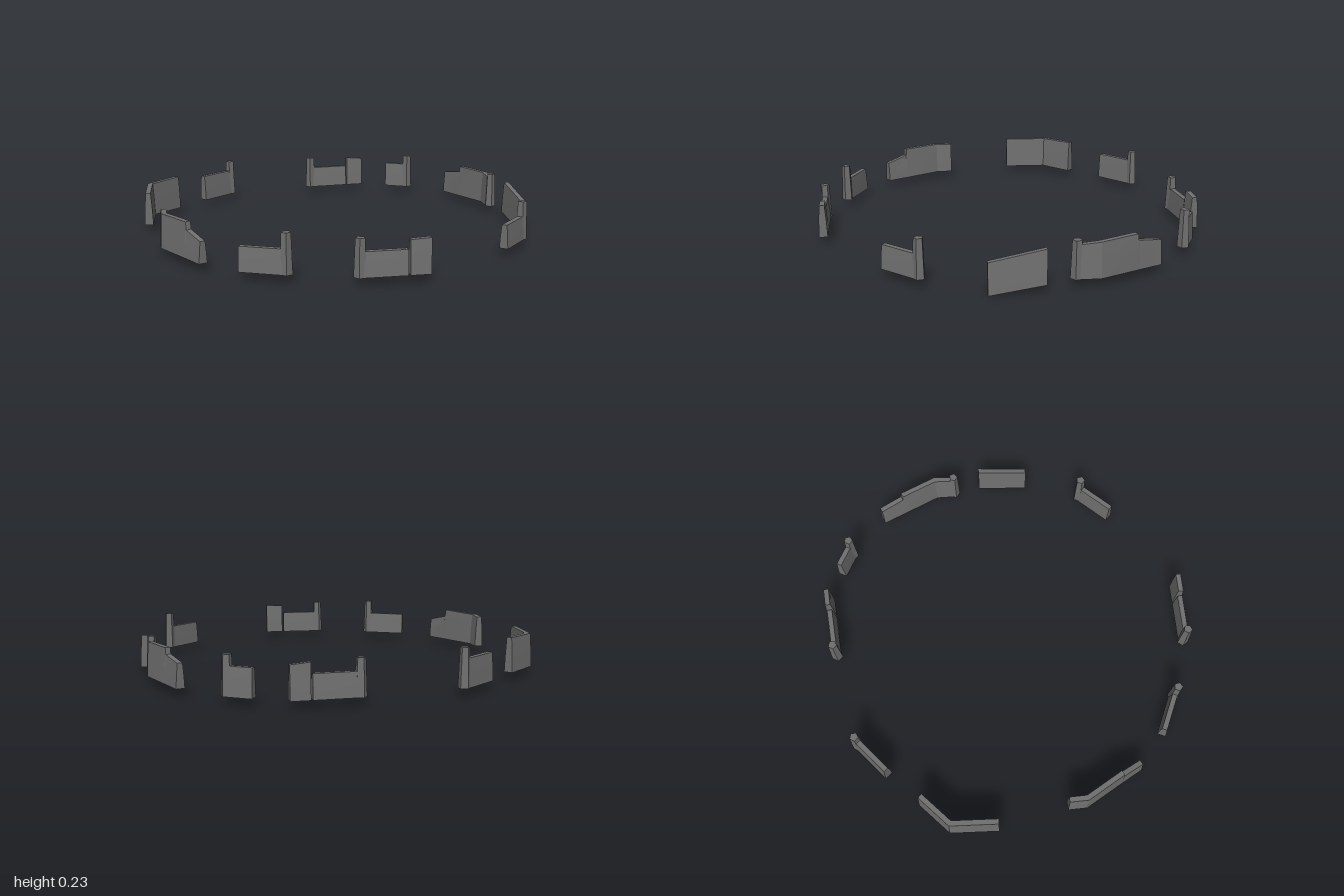
import * as THREE from 'three';
import { toCreasedNormals } from 'three/addons/utils/BufferGeometryUtils.js';

const BASE = 0.04;

// Battered wall swept along stations [x, z, topY, bottomY]
function wallGeometry(stations) {
  const pos = [], idx = [], n = 6, last = stations.length - 1;
  const dir = (i) => {
    const a = stations[i], b = stations[i + 1];
    return new THREE.Vector2(b[0] - a[0], b[1] - a[1]).normalize();
  };
  stations.forEach(([x, z, top, bottom = BASE], i) => {
    const d0 = dir(Math.max(i - 1, 0)), d1 = dir(Math.min(i, last - 1));
    const d = d0.clone().add(d1).normalize();
    const miter = 1 / d.dot(d1);
    const mid = bottom + (top - bottom) * 0.5;
    const section = [[0.022, bottom], [0.0185, mid], [0.013, top],
      [-0.013, top], [-0.0185, mid], [-0.022, bottom]];
    for (const [u, y] of section) pos.push(x - d.y * u * miter, y, z + d.x * u * miter);
  });
  for (let s = 0; s < last; s++) {
    for (let k = 0; k < n; k++) {
      const a = s * n + k, d = s * n + (k + 1) % n;
      idx.push(a, a + n, d + n, a, d + n, d);
    }
  }
  // End caps
  const e = last * n;
  for (let k = 1; k < n - 1; k++) idx.push(0, k, k + 1, e, e + k + 1, e + k);
  const g = new THREE.BufferGeometry();
  g.setAttribute('position', new THREE.Float32BufferAttribute(pos, 3));
  g.setIndex(idx);
  return toCreasedNormals(g, 0.3);
}

// Five-sided tapered post with one corner pointing away from the wall
function postGeometry(top) {
  const h = top - BASE;
  const g = new THREE.CylinderGeometry(0.023, 0.03, h, 5);
  g.translate(0, BASE + h / 2, 0);
  return toCreasedNormals(g, 0.3);
}

export function createModel() {
  const model = new THREE.Group();
  const stone = new THREE.MeshStandardMaterial({ color: 0x707070 });
  stone.name = 'grey stone';

  // Each ruin: wall runs, plus an optional post [x, z, topY, fromX, fromZ]
  const ruins = [
    { name: 'backLeftCorner',
      walls: [[[-0.675, -0.73, 0.21], [-0.51, -0.902, 0.21], [-0.31, -0.91, 0.215]]] },
    { name: 'backWall',
      walls: [[[-0.09, -0.932, 0.178], [0.13, -0.932, 0.178]]],
      post: [0.132, -0.932, 0.232, -0.09, -0.932] },
    { name: 'backRightWall',
      walls: [[[0.572, -0.675, 0.157], [0.75, -0.545, 0.157]],
        [[0.757, -0.54, 0.208], [0.832, -0.485, 0.2]]],
      post: [0.572, -0.675, 0.218, 0.75, -0.545] },
    { name: 'rightShortWall',
      walls: [[[0.897, -0.335, 0.178], [0.942, -0.215, 0.178]]],
      post: [0.942, -0.215, 0.23, 0.897, -0.335] },
    { name: 'rightSteppedWall',
      walls: [[[0.978, 0.052, 0.16], [0.939, 0.175, 0.18], [0.938, 0.179, 0.212],
        [0.879, 0.37, 0.21], [0.812, 0.445, 0.2]]],
      post: [0.81, 0.448, 0.222, 0.879, 0.37] },
    { name: 'tiltedWall',
      walls: [[[0.577, 0.78, 0.152, 0.0], [0.747, 0.58, 0.203, 0.038]]] },
    { name: 'frontWall',
      walls: [[[0.08, 0.937, 0.157], [0.29, 0.916, 0.157]]],
      post: [0.29, 0.916, 0.232, 0.08, 0.937] },
    { name: 'frontLeftWall',
      walls: [[[-0.695, 0.663, 0.157], [-0.535, 0.802, 0.157]],
        [[-0.528, 0.808, 0.2], [-0.455, 0.87, 0.205]]],
      post: [-0.695, 0.663, 0.218, -0.535, 0.802] },
    { name: 'leftShortWall',
      walls: [[[-0.953, 0.19, 0.157], [-0.863, 0.385, 0.157]]],
      post: [-0.863, 0.385, 0.232, -0.953, 0.19] },
    { name: 'leftSteppedWall',
      walls: [[[-0.978, -0.015, 0.145], [-0.953, -0.13, 0.175], [-0.952, -0.134, 0.213],
        [-0.909, -0.345, 0.21], [-0.85, -0.415, 0.208]]] },
  ];

  for (const { name, walls, post } of ruins) {
    const ruin = new THREE.Group();
    ruin.name = name;
    for (const run of walls) {
      const wall = new THREE.Mesh(wallGeometry(run), stone);
      wall.name = 'wall';
      ruin.add(wall);
    }
    if (post) {
      const [x, z, top, fx, fz] = post;
      const mesh = new THREE.Mesh(postGeometry(top), stone);
      mesh.name = 'endPost';
      mesh.position.set(x, 0, z);
      mesh.rotation.y = Math.atan2(x - fx, z - fz);
      ruin.add(mesh);
    }
    model.add(ruin);
  }
  return model;
}
